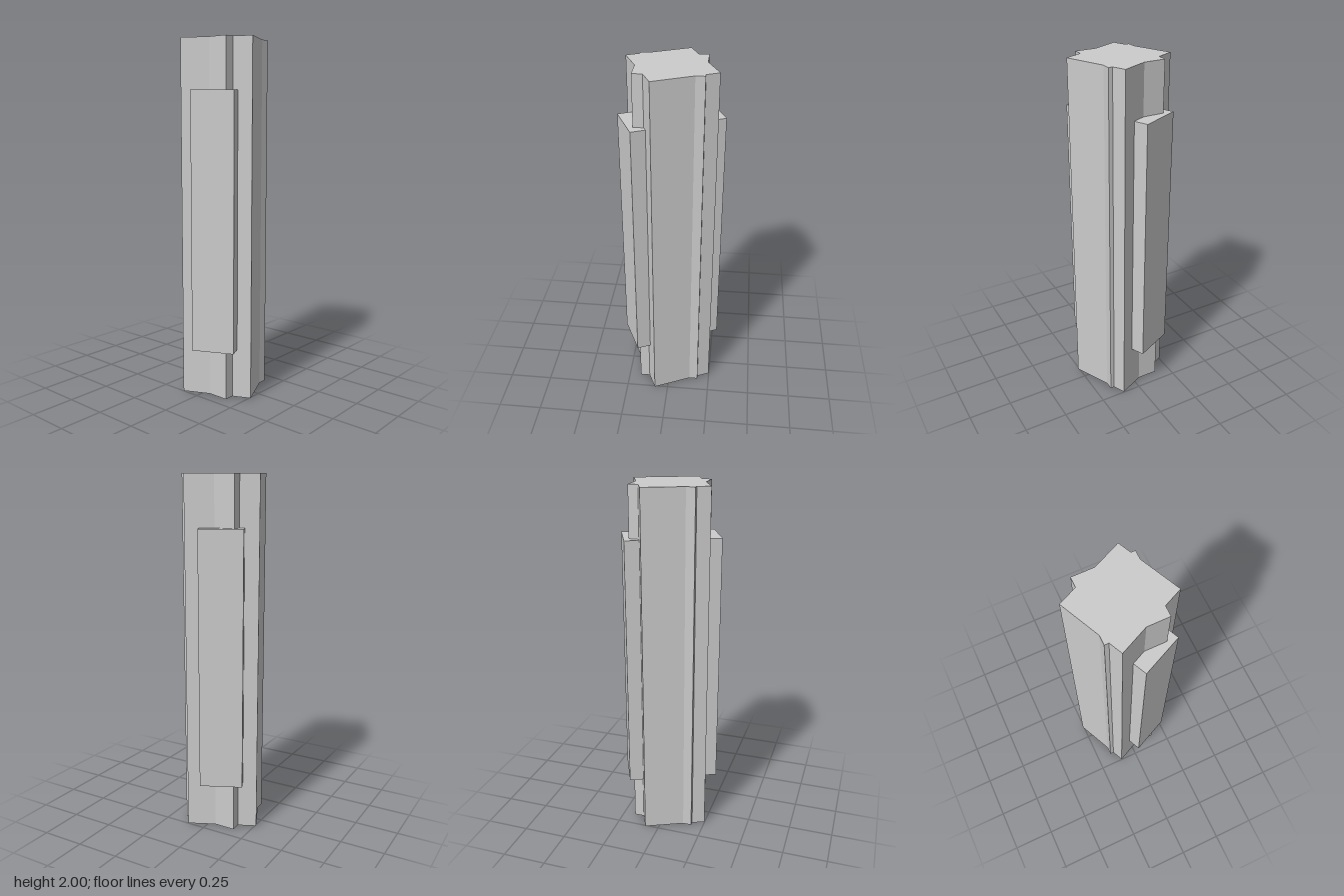
import * as THREE from 'three';

const material = new THREE.MeshStandardMaterial({ color: 0xcccccc, flatShading: true });

// Upright prism from a plan outline of [x, z] points
function prism(name, plan, bottom, top) {
  const shape = new THREE.Shape(plan.map(([x, z]) => new THREE.Vector2(x, -z)));
  const geometry = new THREE.ExtrudeGeometry(shape, { depth: top - bottom, bevelEnabled: false });
  geometry.rotateX(-Math.PI / 2).translate(0, bottom, 0);
  const mesh = new THREE.Mesh(geometry, material);
  mesh.name = name;
  return mesh;
}

const halfTurn = (points) => points.map(([x, z]) => [-x, -z]);

export function createModel() {
  const group = new THREE.Group();
  group.name = 'pillar';

  // Core: a straight block merged with a wider one turned 25 degrees
  const halfCore = [
    [0.257, 0.079], [0.16, 0.124], [0.16, 0.18], [0.04, 0.18],
    [-0.105, 0.248], [-0.137, 0.18], [-0.16, 0.18], [-0.16, 0.13],
  ];
  group.add(prism('core', [...halfCore, ...halfTurn(halfCore)], 0, 2));

  // Raised panels on the front and back, fitted around the core's corners
  const panel = [
    [0.001, 0.286], [0.219, 0.185], [0.185, 0.112], [0.16, 0.124],
    [0.16, 0.18], [0.04, 0.18], [-0.033, 0.214],
  ];
  group.add(prism('frontPanel', panel, 0.28, 1.72));
  group.add(prism('backPanel', halfTurn(panel), 0.28, 1.72));

  return group;
}
